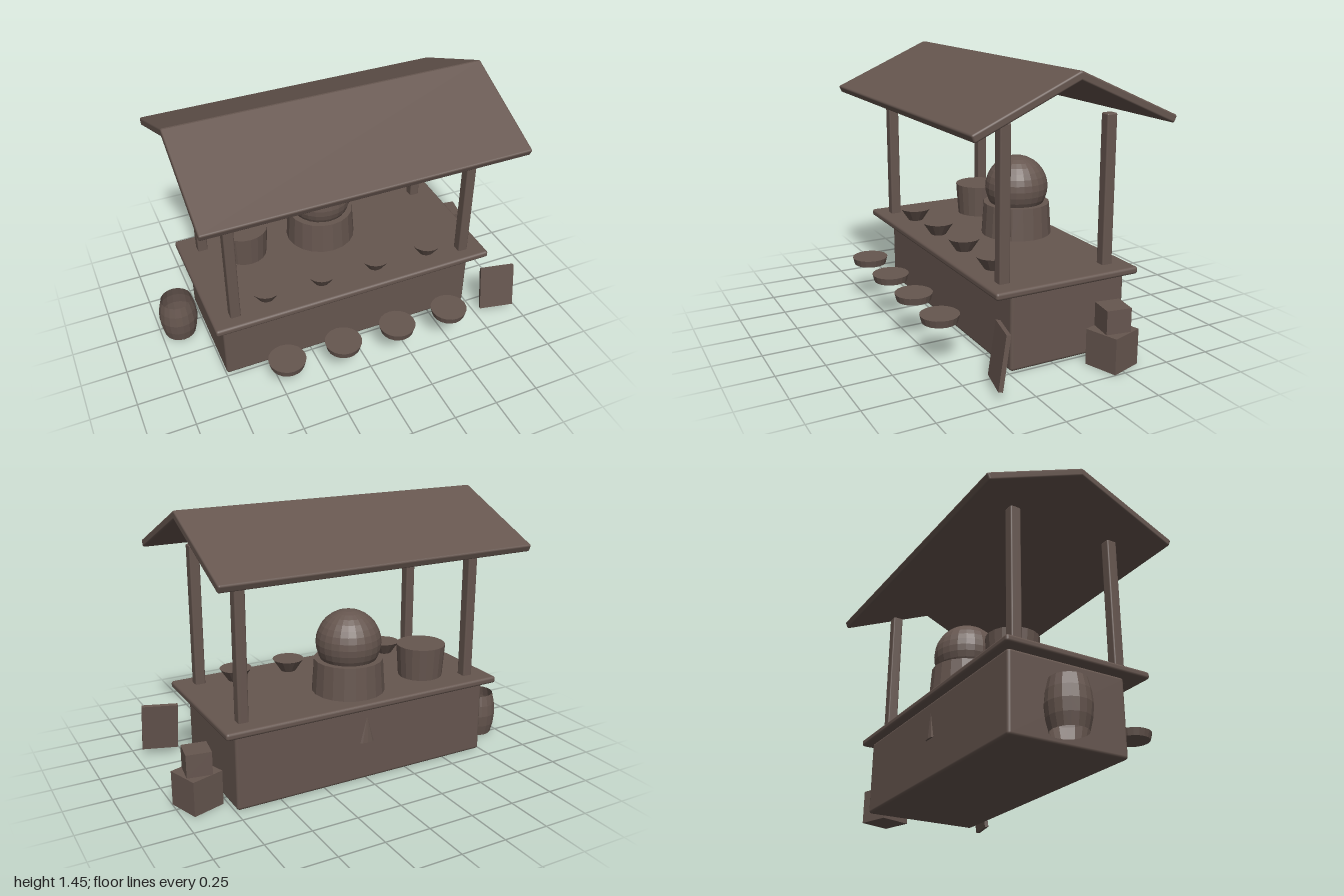
import * as THREE from 'three';
import { RoundedBoxGeometry } from 'three/addons/geometries/RoundedBoxGeometry.js';

export function createModel() {
  const model = new THREE.Group();
  model.name = 'marketStall';
  const smooth = new THREE.MeshStandardMaterial({ color: 0x66564f });
  const faceted = new THREE.MeshStandardMaterial({ color: 0x66564f, flatShading: true });
  const open = new THREE.MeshStandardMaterial({ color: 0x66564f, flatShading: true, side: THREE.DoubleSide });

  const add = (name, geometry, material, x, y, z) => {
    const mesh = new THREE.Mesh(geometry, material);
    mesh.name = name;
    mesh.position.set(x, y, z);
    model.add(mesh);
    return mesh;
  };
  const slab = (name, w, h, d, r, x, y, z) =>
    add(name, new RoundedBoxGeometry(w, h, d, 2, r), smooth, x, y, z);
  const block = (name, w, h, d, x, y, z) =>
    add(name, new THREE.BoxGeometry(w, h, d), faceted, x, y, z);
  // Round part standing on height y
  const drum = (name, rTop, rBottom, h, x, y, z, sides = 20) =>
    add(name, new THREE.CylinderGeometry(rTop, rBottom, h, sides), faceted, x, y + h / 2, z);

  // Counter and its overhanging top
  slab('counter', 1.485, 0.41, 0.65, 0.016, -0.003, 0.205, -0.09);
  slab('countertop', 1.606, 0.038, 0.804, 0.014, -0.003, 0.424, -0.056);

  // Four roof posts
  for (const x of [-0.678, 0.673])
    for (const z of [0.248, -0.34])
      slab('post', 0.056, 0.81, 0.058, 0.008, x, 0.806, z);

  // Gable roof: two sloping panels meeting at the ridge
  const slope = 0.414;
  for (const side of [1, -1]) {
    const panel = slab('roofPanel', 1.736, 0.042, 0.607, 0.01, -0.003, 1.309, -0.046 + side * 0.267);
    panel.rotation.x = side * slope;
  }

  // Stove with its domed oven, and a cooking pot beside it
  drum('stove', 0.184, 0.196, 0.18, 0, 0.44, -0.213);
  add('dome', new THREE.SphereGeometry(0.174, 24, 16), faceted, 0, 0.708, -0.213);
  drum('pot', 0.135, 0.122, 0.182, -0.463, 0.44, -0.213);

  // Serving bowls on the counter, with a stool seat in front of each
  for (let i = 0; i < 4; i++) {
    const x = -0.482 + i * 0.32;
    drum('bowl', 0.088, 0.036, 0.078, x, 0.433, 0.195, 16);
    drum('stoolSeat', 0.1, 0.09, 0.039, x, 0.218, 0.487);
  }

  // Leaning sign board
  const sign = block('signBoard', 0.196, 0.272, 0.022, 0.87, 0.175, 0.371);
  sign.rotation.set(-0.15, -0.25, 0);

  // Stacked crates
  block('lowerCrate', 0.18, 0.185, 0.18, 0.885, 0.0925, -0.25).rotation.y = 0.31;
  block('upperCrate', 0.13, 0.125, 0.13, 0.882, 0.245, -0.252).rotation.y = -0.15;

  // Open barrel
  const staves = [[0.088, 0], [0.102, 0.06], [0.108, 0.122], [0.102, 0.184], [0.088, 0.243]]
    .map(([r, y]) => new THREE.Vector2(r, y));
  add('barrel', new THREE.LatheGeometry(staves, 18), open, -0.89, 0.003, -0.2);

  // Small pointed vent on the back wall
  const vent = add('backVent', new THREE.ConeGeometry(0.042, 0.15, 8), faceted, 0, 0.285, -0.414);
  vent.scale.z = 0.3;

  return model;
}
